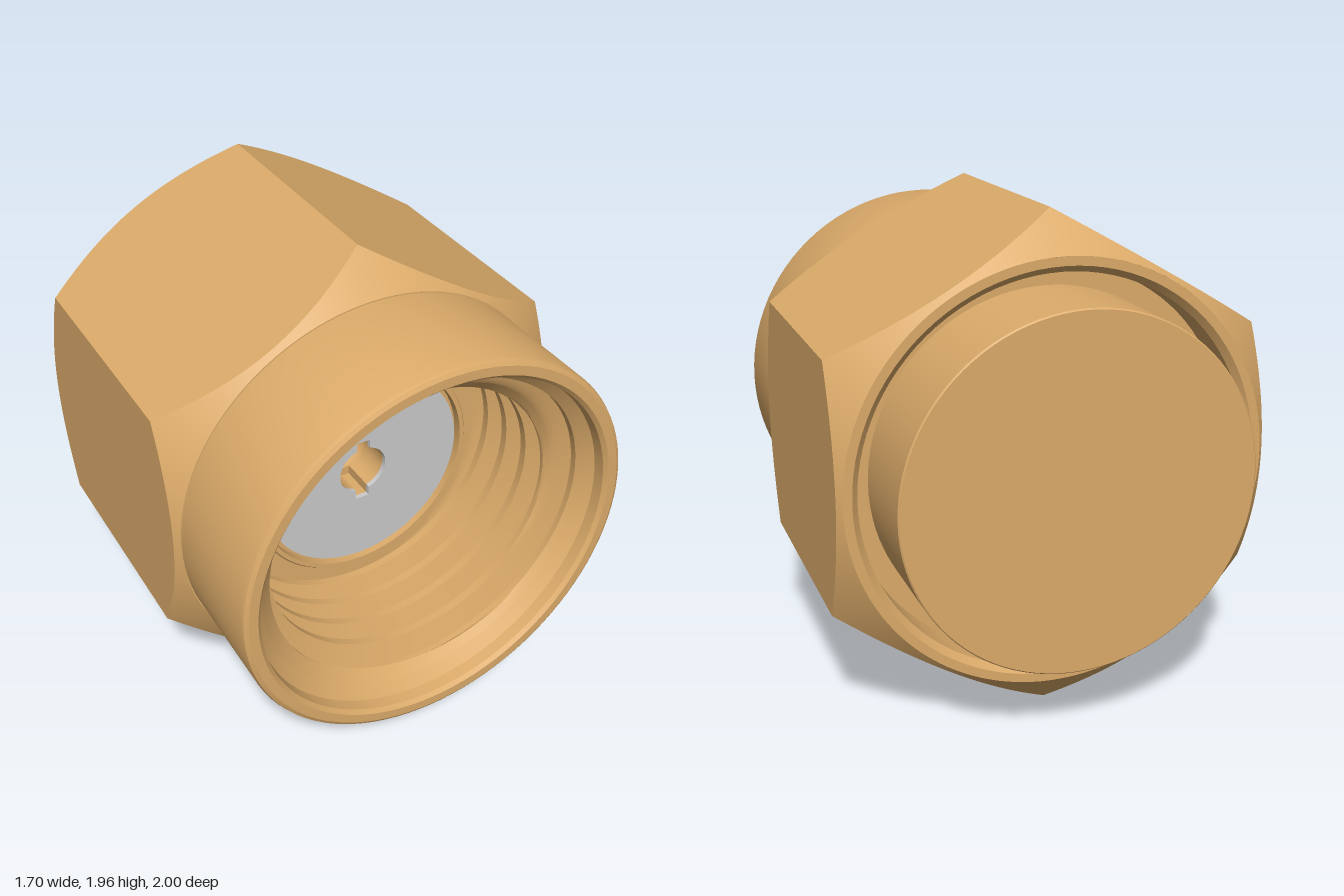
import * as THREE from 'three';
import { toCreasedNormals } from 'three/addons/utils/BufferGeometryUtils.js';

const CENTER_Y = 0.985;
const brass = new THREE.MeshStandardMaterial({ color: 0xdcab6a, side: THREE.DoubleSide });
const grey = new THREE.MeshStandardMaterial({ color: 0xcccccc, side: THREE.DoubleSide });

function part(name, geometry, material = brass) {
  const mesh = new THREE.Mesh(geometry, material);
  mesh.name = name;
  return mesh;
}

// Turned part around the z axis from [radius, z] pairs
function turned(name, pairs, segments = 96) {
  const points = pairs.map(([r, z]) => new THREE.Vector2(r, z));
  const geo = new THREE.LatheGeometry(points, segments).rotateX(Math.PI / 2);
  return part(name, toCreasedNormals(geo, 0.5));
}

// Hexagonal body whose two ends are cut by 45 degree cones
function hexBody() {
  const apothem = 0.85, rim = 0.83, front = 0.49, back = -0.785, n = 144;
  const position = [], index = [];
  for (let i = 0; i <= n; i++) {
    const a = (i / n) * Math.PI * 2;
    const offset = (a % (Math.PI / 3)) - Math.PI / 6;
    // Flats face +x and -x, corners point up and down
    const dir = a - Math.PI / 6;
    const r = apothem / Math.cos(offset);
    const rows = [[rim, back], [r, back + r - rim], [r, front - r + rim], [rim, front]];
    for (const [radius, z] of rows) position.push(radius * Math.cos(dir), radius * Math.sin(dir), z);
    if (i === n) continue;
    for (let k = 0; k < 3; k++) {
      const p = i * 4 + k, q = p + 4;
      index.push(p, q, q + 1, p, q + 1, p + 1);
    }
  }
  const geo = new THREE.BufferGeometry();
  geo.setAttribute('position', new THREE.Float32BufferAttribute(position, 3));
  geo.setIndex(index);
  return part('hexBody', toCreasedNormals(geo, 0.5));
}

// Internal thread: a ridged tube sheared into a helix, countersunk at its mouth
function thread() {
  const pitch = 0.13, root = 0.7, crest = 0.6, start = 0.18, steps = 16;
  const points = [];
  for (let i = 0; i <= 6 * steps; i++) {
    const wave = Math.abs(((i / steps) % 1) * 2 - 1);
    const t = THREE.MathUtils.clamp((wave - 0.25) * 2, 0, 1);
    points.push(new THREE.Vector2(THREE.MathUtils.lerp(crest, root, t), start + (i * pitch) / steps));
  }
  const segments = 96;
  const geo = new THREE.LatheGeometry(points, segments);
  const pos = geo.attributes.position;
  for (let i = 0; i < pos.count; i++) {
    const turn = Math.floor(i / points.length) / segments;
    const z = Math.min(0.9, Math.max(0.3, pos.getY(i) + turn * pitch));
    const r = Math.hypot(pos.getX(i), pos.getZ(i));
    const scale = Math.min(root, Math.max(r, crest + z - 0.8)) / r;
    pos.setXYZ(i, pos.getX(i) * scale, z, pos.getZ(i) * scale);
  }
  geo.rotateX(Math.PI / 2);
  return part('internalThread', toCreasedNormals(geo, 0.5));
}

// Disc with a round hole that has a notch above and below
function notchedDisc(name, radius, zBack, zFront, material) {
  const shape = new THREE.Shape().absarc(0, 0, radius, 0, Math.PI * 2);
  const r = 0.104, w = 0.03, h = 0.14;
  const a = Math.acos(w / r);
  const hole = new THREE.Path();
  hole.absarc(0, 0, r, -a, a);
  hole.lineTo(w, h).lineTo(-w, h);
  hole.absarc(0, 0, r, Math.PI - a, Math.PI + a);
  hole.lineTo(-w, -h).lineTo(w, -h);
  shape.holes.push(hole);
  const geo = new THREE.ExtrudeGeometry(shape, { depth: zFront - zBack, bevelEnabled: false, curveSegments: 48 });
  return part(name, toCreasedNormals(geo.translate(0, 0, zBack), 0.5), material);
}

export function createModel() {
  const group = new THREE.Group();
  group.name = 'coaxialConnector';

  group.add(hexBody());
  // Rear plug standing in a ring-shaped recess
  group.add(turned('rearPlug', [[0, -1], [0.685, -1], [0.69, -0.995], [0.69, -0.6]]));
  group.add(turned('rearRecess', [[0.69, -0.6], [0.77, -0.6], [0.77, -0.76], [0.795, -0.785], [0.83, -0.785]]));
  // Front sleeve with rounded rim, chamfered mouth and bore
  group.add(turned('frontSleeve', [
    [0.83, 0.49], [0.825, 0.49], [0.825, 0.975], [0.819, 0.991], [0.803, 1],
    [0.765, 1], [0.75, 0.985], [0.745, 0.94], [0.7, 0.9], [0.705, 0.895], [0.705, 0.3], [0.483, 0.3],
  ]));
  group.add(thread());
  // Inner barrel that holds the insulator
  group.add(turned('innerBarrel', [[0.483, 0.3], [0.483, 0.42], [0.475, 0.43], [0.457, 0.43], [0.457, 0.39], [0.43, 0.39]]));
  group.add(notchedDisc('insulator', 0.436, 0.4, 0.42, grey));
  group.add(notchedDisc('contactSocket', 0.43, 0.26, 0.4, brass));
  // Rounded end of the socket
  const cup = [];
  for (let i = 0; i <= 12; i++) {
    const t = (i / 12) * Math.PI / 2;
    cup.push([0.104 * Math.cos(t), 0.26 - 0.104 * Math.sin(t)]);
  }
  group.add(turned('socketEnd', [[0.2, 0.26], ...cup], 48));

  group.children.forEach((mesh) => { mesh.position.y = CENTER_Y; });
  return group;
}
